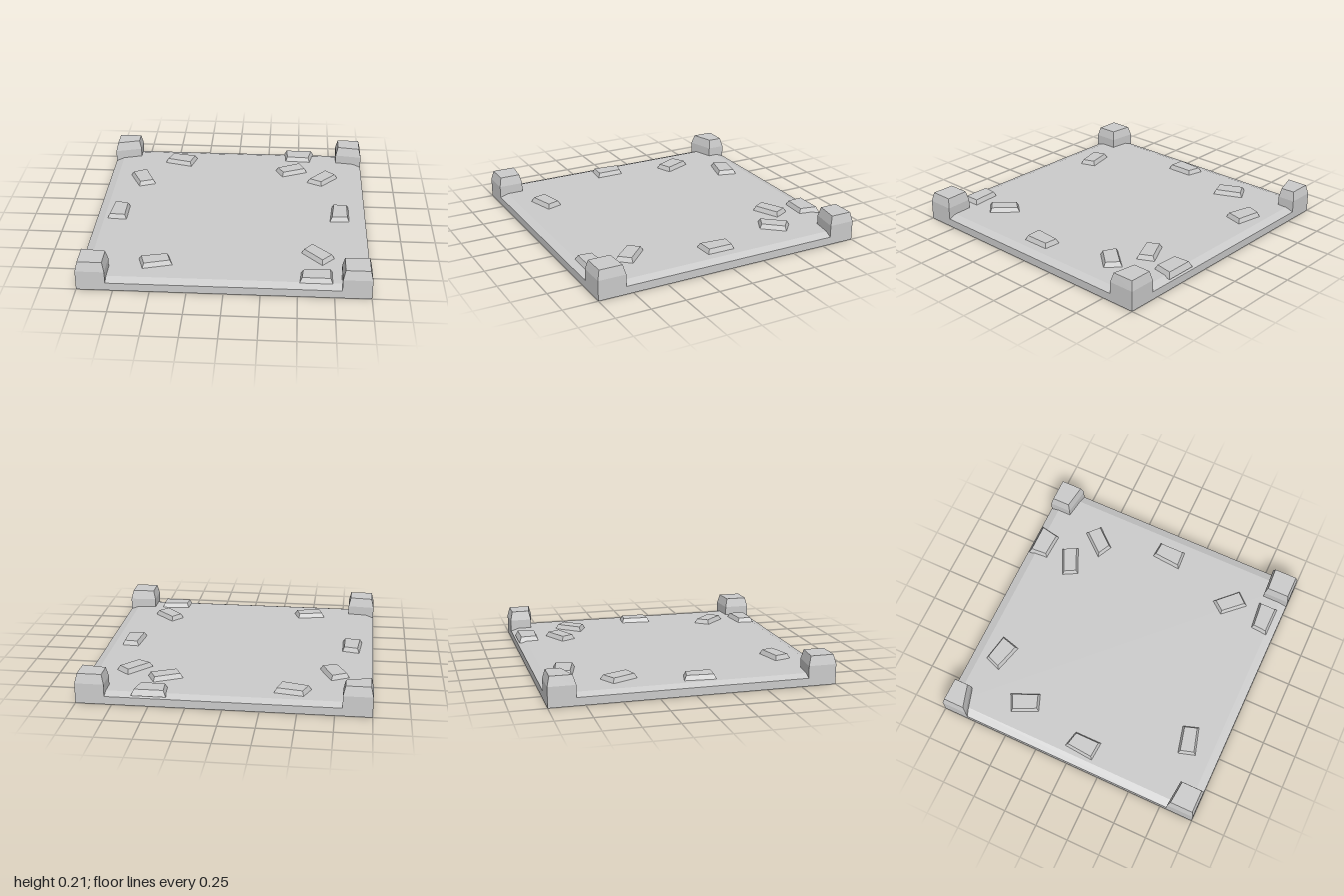
import * as THREE from 'three';

const material = new THREE.MeshStandardMaterial({ color: 0xcccccc, flatShading: true, side: THREE.DoubleSide });

// Stack of four-cornered rings [y, corners], corners clockwise from above
function loft(name, rings, closedBottom) {
  const pos = [];
  const at = (r, i) => {
    const [x, z] = rings[r][1][i % 4];
    return [x, rings[r][0], z];
  };
  const quad = (a, b, c, d) => pos.push(...a, ...b, ...c, ...a, ...c, ...d);
  for (let r = 0; r < rings.length - 1; r++) {
    for (let i = 0; i < 4; i++) quad(at(r, i), at(r + 1, i), at(r + 1, i + 1), at(r, i + 1));
  }
  const top = rings.length - 1;
  quad(at(top, 0), at(top, 3), at(top, 2), at(top, 1));
  if (closedBottom) quad(at(0, 0), at(0, 1), at(0, 2), at(0, 3));
  const geometry = new THREE.BufferGeometry();
  geometry.setAttribute('position', new THREE.Float32BufferAttribute(pos, 3));
  geometry.computeVertexNormals();
  const mesh = new THREE.Mesh(geometry, material);
  mesh.name = name;
  return mesh;
}

// Slide every corner inwards along both of its edges
function inset(corners, d) {
  return corners.map(([x, z], i) => {
    let nx = x, nz = z;
    for (const [ox, oz] of [corners[(i + 1) % 4], corners[(i + 3) % 4]]) {
      const len = Math.hypot(ox - x, oz - z);
      nx += (d * (ox - x)) / len;
      nz += (d * (oz - z)) / len;
    }
    return [nx, nz];
  });
}

// Irregular footprints of the scattered paving stones
const stones = [
  [[-0.54, -0.89], [-0.33, -0.85], [-0.37, -0.70], [-0.59, -0.76]],
  [[-0.71, -0.60], [-0.62, -0.39], [-0.75, -0.34], [-0.84, -0.53]],
  [[-0.90, -0.06], [-0.77, -0.03], [-0.77, 0.18], [-0.92, 0.17]],
  [[0.75, -0.10], [0.88, -0.09], [0.88, 0.12], [0.73, 0.13]],
  [[0.38, -0.99], [0.62, -0.99], [0.59, -0.83], [0.39, -0.84]],
  [[0.51, -0.77], [0.57, -0.65], [0.37, -0.56], [0.31, -0.67]],
  [[0.71, -0.66], [0.81, -0.57], [0.68, -0.42], [0.56, -0.48]],
  [[0.60, 0.47], [0.76, 0.63], [0.67, 0.73], [0.52, 0.57]],
  [[0.52, 0.82], [0.74, 0.80], [0.74, 0.95], [0.51, 0.95]],
  [[-0.40, 0.66], [-0.36, 0.78], [-0.57, 0.84], [-0.61, 0.71]],
];

// Corner posts with slightly skewed inner faces
const posts = {
  postBackRight: [[-1, -1], [-0.8, -1], [-0.8, -0.87], [-1, -0.81]],
  postBackLeft: [[0.8, -1], [1, -1], [1, -0.81], [0.8, -0.84]],
  postFrontLeft: [[0.8, 0.81], [1, 0.8], [1, 1], [0.8, 1]],
  postFrontRight: [[-1, 0.8], [-0.8, 0.82], [-0.8, 1], [-1, 1]],
};

export function createModel() {
  const group = new THREE.Group();
  group.name = 'floorTile';

  // Hollow slab with a bevelled rim, open underneath
  const square = [[-1, -1], [1, -1], [1, 1], [-1, 1]];
  group.add(loft('floorSlab', [[0, square], [0.057, square], [0.077, inset(square, 0.06)]], false));

  // Hollow posts with bevelled tops
  for (const [name, corners] of Object.entries(posts)) {
    group.add(loft(name, [[0, corners], [0.143, corners], [0.21, inset(corners, 0.016)]], false));
  }

  // Stones sunk slightly through the slab
  stones.forEach((corners, i) => {
    group.add(loft(`pavingStone${i + 1}`, [[0.068, corners], [0.11, inset(corners, 0.018)]], true));
  });
  return group;
}
